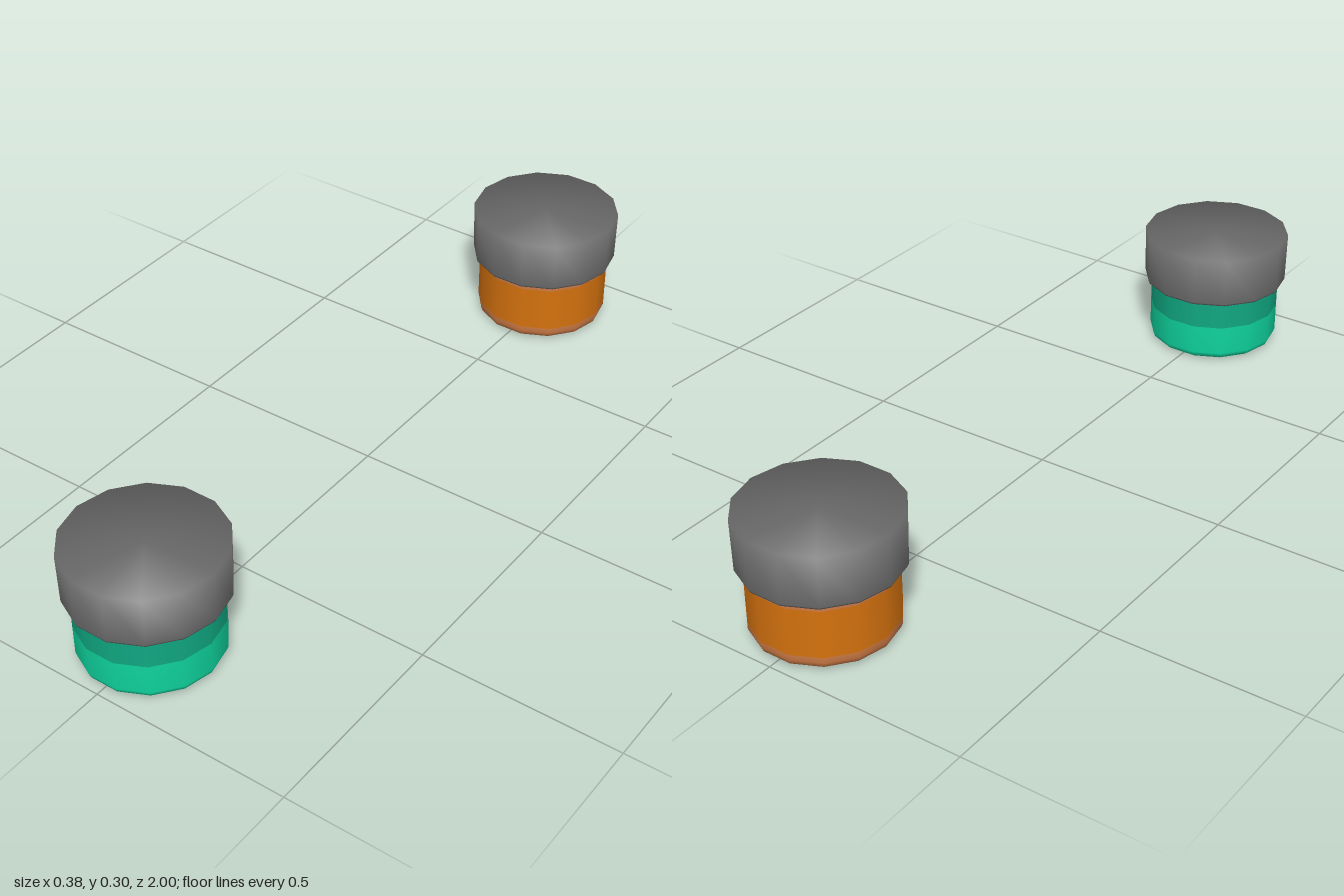
import * as THREE from 'three';

const SIDES = 14;
const material = (name, color) => {
  const m = new THREE.MeshStandardMaterial({ color });
  m.name = name;
  return m;
};

// Smooth turned part; the profile runs from bottom to top as [radius, y],
// with corners of the 14-sided outline on the x axis
function turned(name, profile, mat) {
  const points = profile.map(([r, y]) => new THREE.Vector2(r, y));
  const mesh = new THREE.Mesh(new THREE.LatheGeometry(points, SIDES, Math.PI / 2), mat);
  mesh.name = name;
  return mesh;
}

export function createModel() {
  const lidGrey = material('lid grey', 0x676767);
  const green = material('bright green', 0x0fd49e);
  const darkGreen = material('deep green', 0x10a882);
  const orange = material('orange', 0xd5720e);
  const paleOrange = material('pale orange', 0xcc7a45);

  const WALL = 0.17, NECK = 0.18;
  const rounded = [[0.155, 0.003], [0.165, 0.01], [WALL, 0.022]];

  // One jar: base disc, rounded lower edge, wall bands and a wide lid
  function jar(name, z, baseMat, lowerMat, bands) {
    const group = new THREE.Group();
    group.name = name;
    group.position.z = z;
    const lowerTop = bands[0].from;
    group.add(turned('base', [[0, 0], [0.135, 0], [0.14, 0.0005]], baseMat));
    group.add(turned('lowerBody', [[0.135, 0], ...rounded, [WALL, lowerTop]], lowerMat));
    for (const { part, from, to, mat } of bands) {
      group.add(turned(part, [[WALL, from], [WALL, to]], mat));
    }
    group.add(turned('lid', [
      [0, 0.172], [0.17, 0.172], [0.186, 0.173], [0.188, 0.178],
      [0.19, 0.304], [0, 0.304],
    ], lidGrey));
    return group;
  }

  const model = new THREE.Group();
  model.name = 'pairOfJars';
  model.add(jar('greenJar', 0.815, green, green, [
    { part: 'upperBand', from: 0.098, to: NECK, mat: darkGreen },
  ]));
  model.add(jar('orangeJar', -0.815, orange, paleOrange, [
    { part: 'middleBand', from: 0.036, to: 0.155, mat: orange },
    { part: 'upperBand', from: 0.155, to: NECK, mat: paleOrange },
  ]));
  return model;
}
